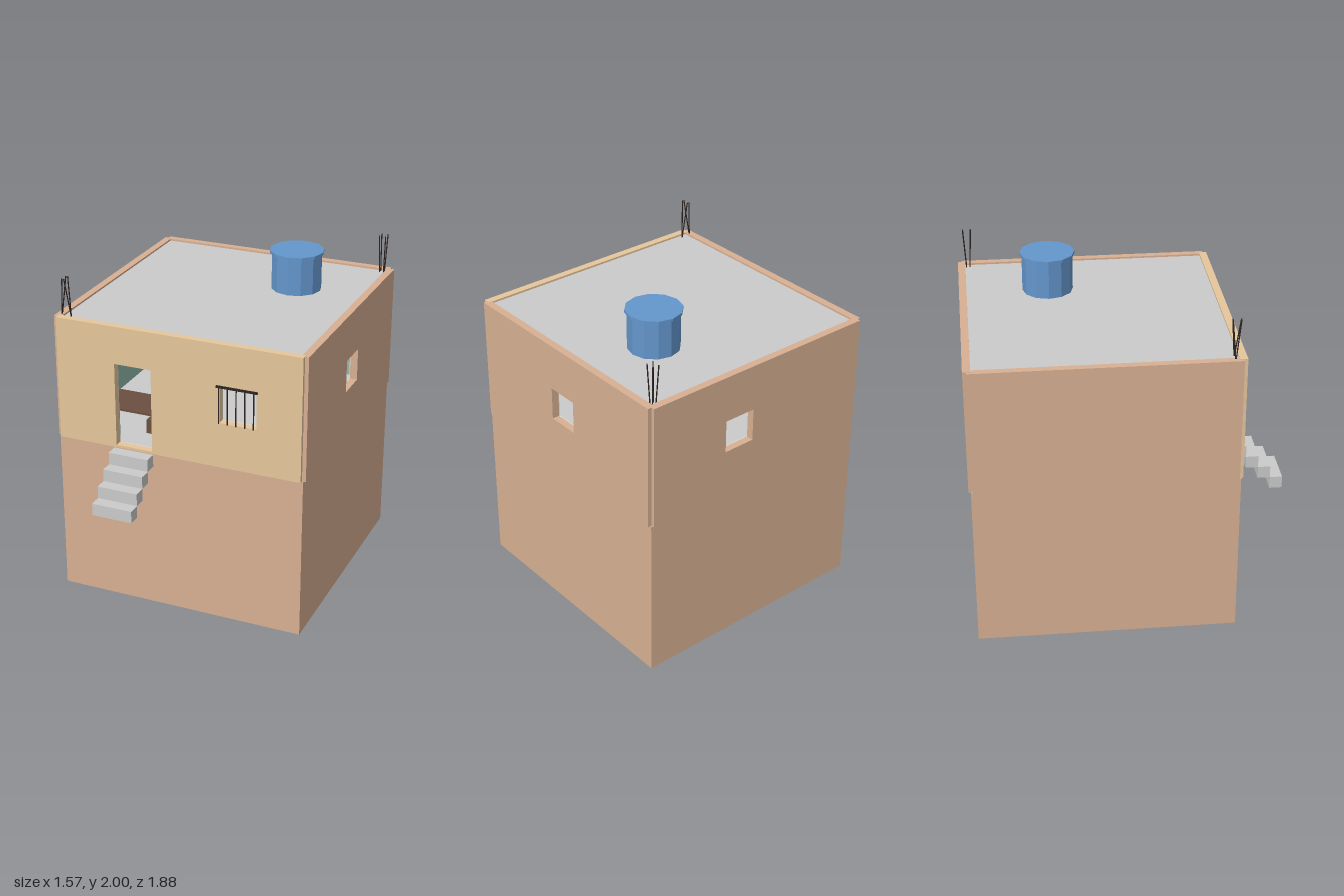
import * as THREE from 'three';

const mat = (color) => new THREE.MeshStandardMaterial({ color, flatShading: true });
const brick = mat(0xd8b093), plaster = mat(0xe6c69c), cream = mat(0xe8e2d0), teal = mat(0x8fb8aa);
const grey = mat(0xcccccc), blue = mat(0x6496cc), iron = mat(0x2c2422), wood = mat(0x6b4f40);

const FLOOR = 1.01, TOP = 1.77, DADO = 1.27, ZC = -0.155;

export function createModel() {
  const model = new THREE.Group();

  const add = (name, geometry, material, parent = model) => {
    const mesh = new THREE.Mesh(geometry, material);
    mesh.name = name;
    parent.add(mesh);
    return mesh;
  };

  // Box given by its limits on each axis
  const box = (name, [x0, x1], [y0, y1], [z0, z1], material, parent) => {
    const mesh = add(name, new THREE.BoxGeometry(x1 - x0, y1 - y0, z1 - z0), material, parent);
    mesh.position.set((x0 + x1) / 2, (y0 + y1) / 2, (z0 + z1) / 2);
    return mesh;
  };

  // Upright panel with an optional opening [x0, x1, y0, y1]
  const panel = (name, half, y0, y1, z, depth, hole, material, parent) => {
    const rect = (Cls, a, b, c, d) => new Cls([[a, c], [b, c], [b, d], [a, d]].map((p) => new THREE.Vector2(...p)));
    const shape = rect(THREE.Shape, -half, half, y0, y1);
    for (const h of hole) shape.holes.push(rect(THREE.Path, ...h));
    add(name, new THREE.ExtrudeGeometry(shape, { depth, bevelEnabled: false }), material, parent).position.z = z;
  };

  // Thin round bar between two points
  const rod = (name, a, b, radius, material, parent) => {
    const from = new THREE.Vector3(...a), dir = new THREE.Vector3(...b).sub(from);
    const mesh = add(name, new THREE.CylinderGeometry(radius, radius, dir.length(), 6), material, parent);
    mesh.position.copy(from).addScaledVector(dir, 0.5);
    mesh.quaternion.setFromUnitVectors(new THREE.Vector3(0, 1, 0), dir.normalize());
  };

  // Ground storey
  box('lowerStorey', [-0.77, 0.77], [0, FLOOR], [-0.925, 0.615], brick);

  // Upper walls: each is modelled facing +z, then turned into place
  const door = [-0.39, -0.16, 1.025, 1.54];
  const walls = [
    { name: 'front', turn: 0, half: 0.76, top: TOP, material: plaster, holes: [door, [0.265, 0.49, 1.29, 1.52]] },
    { name: 'left', turn: Math.PI / 2, half: 0.76, top: TOP - 0.001, material: brick, holes: [[-0.105, 0.095, 1.29, 1.49]] },
    { name: 'back', turn: Math.PI, half: 0.76, top: TOP, material: brick, holes: [[-0.25, -0.05, 1.29, 1.49]] },
    { name: 'right', turn: -Math.PI / 2, half: 0.76, top: TOP - 0.001, material: brick, holes: [] },
  ];
  for (const { name, turn, half, top, material, holes } of walls) {
    const wall = new THREE.Group();
    wall.name = name + 'Wall';
    wall.rotation.y = turn;
    wall.position.z = ZC;
    const outer = 0.783, inner = 0.738;
    panel(name + 'WallOuter', half, FLOOR, top, inner, outer - inner, holes, material, wall);
    panel(name + 'WallLining', 0.735, FLOOR + 0.005, 1.75, inner - 0.004, 0.004, holes, cream, wall);
    // Painted lower band, split around the doorway
    const spans = name === 'front' ? [[-0.73, door[0]], [door[1], 0.73]] : [[-0.73, 0.73]];
    for (const span of spans) box(name + 'PaintBand', span, [1.02, DADO], [inner - 0.008, inner - 0.004], teal, wall);
    model.add(wall);
  }

  // Floor and roof slabs
  box('upperFloor', [-0.738, 0.738], [FLOOR, 1.022], [ZC - 0.738, ZC + 0.738], grey);
  box('roofSlab', [-0.738, 0.738], [1.735, 1.758], [ZC - 0.738, ZC + 0.738], grey);

  // Floating steps below the door
  for (let i = 0; i < 4; i++) {
    const y = FLOOR - i * 0.075, z = 0.637 + i * 0.075;
    box('step', [-0.4, -0.15], [y - 0.075, y], [z, z + 0.075], grey);
  }

  // Window grille
  const grille = new THREE.Group();
  grille.name = 'windowGrille';
  box('grilleRail', [0.25, 0.5], [1.512, 1.524], [0.634, 0.645], iron, grille);
  for (let i = 0; i < 5; i++) {
    const x = 0.265 + i * 0.053;
    rod('grilleBar', [x, 1.29, 0.64], [x, 1.515, 0.64], 0.004, iron, grille);
  }
  model.add(grille);

  // Water tank with lid
  const tank = new THREE.Group();
  tank.name = 'waterTank';
  tank.position.set(0.327, 0, -0.405);
  add('tankBody', new THREE.CylinderGeometry(0.152, 0.152, 0.232, 12), blue, tank).position.y = 1.872;
  add('tankLid', new THREE.CylinderGeometry(0.165, 0.165, 0.016, 12), blue, tank).position.y = 1.992;
  model.add(tank);

  // Bare reinforcement bars at two opposite roof corners
  for (const sx of [-1, 1]) for (const sz of [-1, 1]) {
    rod('frontCornerRebar', [-0.722 + sx * 0.03, 1.755, 0.56], [-0.722 + sx * 0.006, 1.995, 0.565 + sz * 0.024], 0.0035, iron);
    rod('backCornerRebar', [0.717 + sx * 0.012, 1.755, -0.875 + sz * 0.01], [0.717 + sx * 0.02, 1.995, -0.875 + sz * 0.024], 0.0035, iron);
  }

  // Table and stool inside
  const table = new THREE.Group();
  table.name = 'table';
  box('tableTop', [-0.64, -0.16], [1.1, 1.114], [0.08, 0.34], wood, table);
  for (const x of [-0.63, -0.172]) for (const z of [0.09, 0.33]) {
    box('tableLeg', [x - 0.006, x + 0.006], [1.022, 1.1], [z - 0.006, z + 0.006], wood, table);
  }
  model.add(table);
  box('stool', [-0.3, -0.25], [1.022, 1.11], [0.36, 0.41], wood);

  return model;
}
